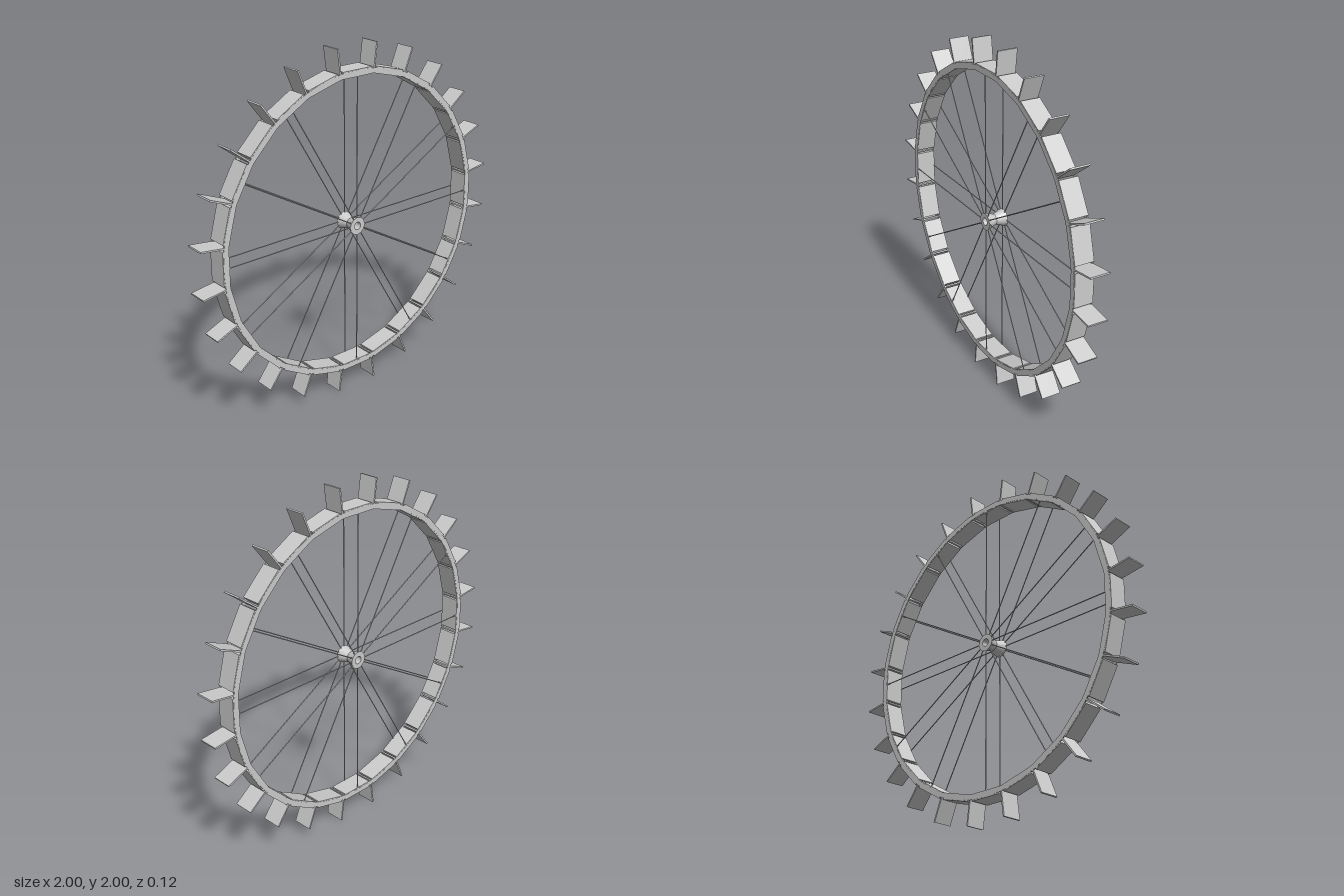
import * as THREE from 'three';

const N = 24, STEP = Math.PI * 2 / N, HALF = 0.057;
const mat = new THREE.MeshStandardMaterial({ color: 0xcccccc, flatShading: true });
const smooth = new THREE.MeshStandardMaterial({ color: 0xcccccc });

function add(parent, name, geometry, material = mat) {
  const m = new THREE.Mesh(geometry, material);
  m.name = name;
  parent.add(m);
  return m;
}

// Box standing on the wheel at a given angle and centre radius
function radialBox(parent, name, w, h, d, radius, angle) {
  const m = add(parent, name, new THREE.BoxGeometry(w, h, d));
  m.position.set(radius * Math.sin(angle), radius * Math.cos(angle), 0);
  m.rotation.z = -angle;
  return m;
}

export function createModel() {
  const wheel = new THREE.Group();
  wheel.name = 'paddleWheel';
  wheel.position.y = 1;

  // Two thin round side rings, narrower than the boards they carry
  const ringShape = new THREE.Shape().absarc(0, 0, 0.872, 0, Math.PI * 2, false);
  ringShape.holes.push(new THREE.Path().absarc(0, 0, 0.844, 0, Math.PI * 2, false));
  const ringGeo = new THREE.ExtrudeGeometry(ringShape, { depth: 0.006, bevelEnabled: false, curveSegments: 96 });
  add(wheel, 'frontRing', ringGeo, smooth).position.z = HALF - 0.006;
  add(wheel, 'backRing', ringGeo, smooth).position.z = -HALF;

  // Rim boards with slots between them, and paddles standing in the slots
  const boards = new THREE.Group(), paddles = new THREE.Group();
  boards.name = 'rimBoards';
  paddles.name = 'paddles';
  for (let i = 0; i < N; i++) {
    radialBox(boards, 'rimBoard', 0.194, 0.038, HALF * 2 - 0.002, 0.856, i * STEP);
    radialBox(paddles, 'paddle', 0.009, 0.165, HALF * 2, 0.926, (i + 0.5) * STEP);
  }
  wheel.add(boards, paddles);

  // Twelve spokes on each side
  const spokes = new THREE.Group();
  spokes.name = 'spokes';
  const spokeGeo = new THREE.CylinderGeometry(0.003, 0.003, 0.8, 8);
  for (const z of [-0.053, 0.053]) {
    for (let i = 0; i < 12; i++) {
      const a = i * Math.PI / 6;
      const s = add(spokes, 'spoke', spokeGeo, smooth);
      s.position.set(0.44 * Math.sin(a), 0.44 * Math.cos(a), z);
      s.rotation.z = -a;
    }
  }
  wheel.add(spokes);

  // Waisted hub with a bore through it
  const profile = [
    [0.022, -0.058], [0.05, -0.058], [0.03, 0], [0.05, 0.058], [0.022, 0.058], [0.022, -0.058],
  ].map(([x, y]) => new THREE.Vector2(x, y));
  add(wheel, 'hub', new THREE.LatheGeometry(profile, 32)).rotation.x = Math.PI / 2;

  const model = new THREE.Group();
  model.name = 'model';
  model.add(wheel);
  return model;
}
